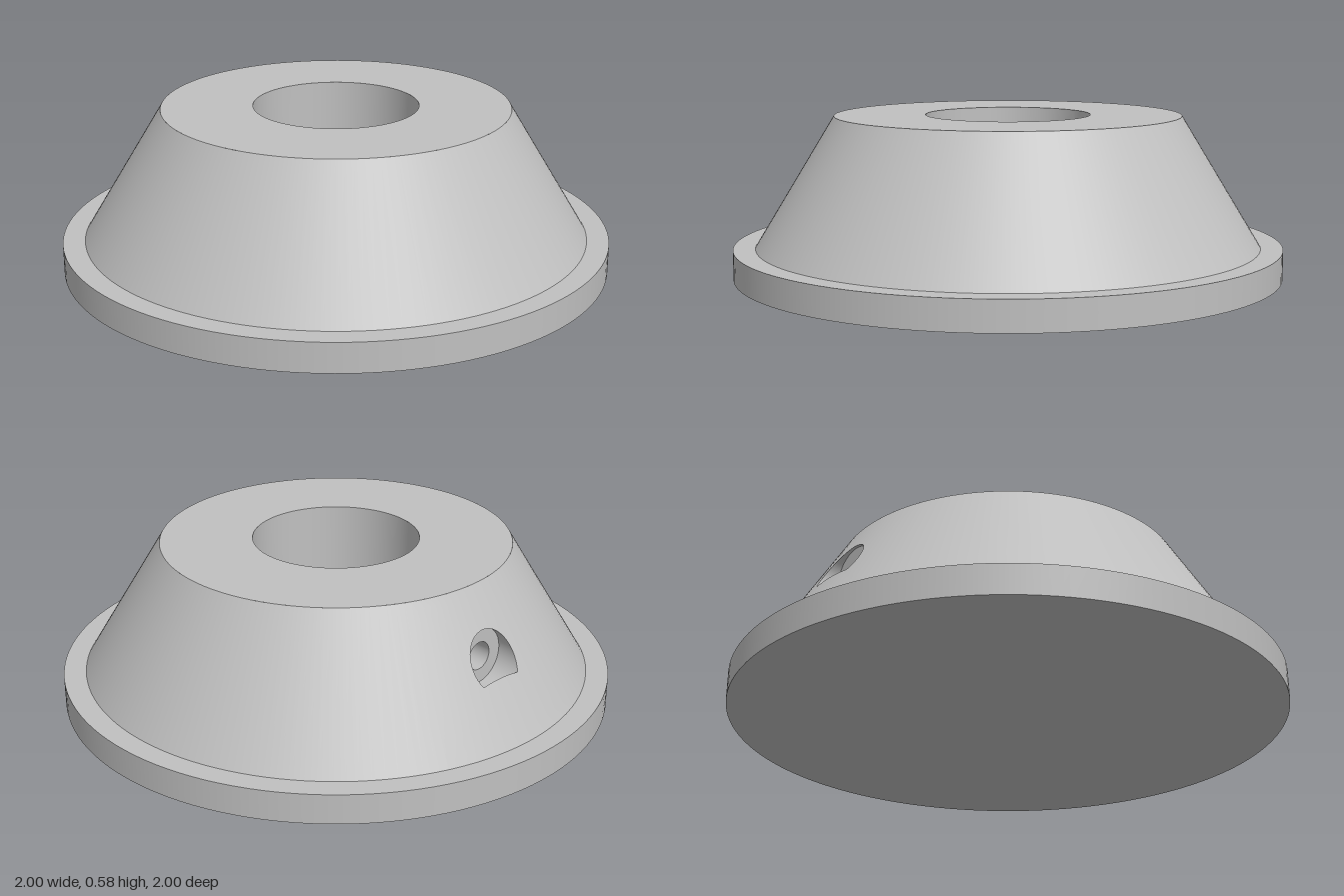
import * as THREE from 'three';

const FLANGE = 0.107, TOP = 0.58, R_LOW = 0.92, R_HIGH = 0.632, BORE = 0.3;
const HOLE_Y = 0.35, HEAD_R = 0.1, SCREW_R = 0.05, HEAD_OUT = -0.8, HEAD_IN = -0.7;
const SEG = 64, SPAN = 0.35;

// Joins closed rings of points into one smooth surface
function loft(rings) {
  const pos = [], index = [], n = rings[0].length;
  rings.forEach((ring) => ring.forEach((p) => pos.push(...p)));
  for (let r = 0; r < rings.length - 1; r++) {
    for (let i = 0; i < n; i++) {
      const a = r * n + i, b = r * n + ((i + 1) % n);
      index.push(a, b, a + n, b, b + n, a + n);
    }
  }
  const g = new THREE.BufferGeometry();
  g.setAttribute('position', new THREE.Float32BufferAttribute(pos, 3));
  g.setIndex(index);
  g.computeVertexNormals();
  return g;
}

const ring = (fn) => Array.from({ length: SEG }, (_, i) => {
  const t = (i / SEG) * Math.PI * 2;
  return fn(Math.sin(t), Math.cos(t));
});

export function createModel() {
  const group = new THREE.Group();
  const grey = new THREE.MeshStandardMaterial({ color: 0xc0c0c0, side: THREE.DoubleSide });
  grey.name = 'grey';
  const add = (name, geometry) => {
    const m = new THREE.Mesh(geometry, grey);
    m.name = name;
    group.add(m);
    return m;
  };

  const height = TOP - FLANGE, slope = (R_LOW - R_HIGH) / height;
  const coneR = (y) => R_LOW - (y - FLANGE) * slope;
  const boreR = () => BORE;
  const wallX = (radius, y, z) => -Math.sqrt(radius(y) ** 2 - z * z);

  // A round wall whose -x sector is replaced by a patch around an opening
  function piercedWall(name, radius, opening) {
    const main = new THREE.CylinderGeometry(radius(TOP), radius(FLANGE), height, 120, 1, true,
      Math.PI * 1.5 + SPAN, Math.PI * 2 - SPAN * 2);
    main.translate(0, (TOP + FLANGE) / 2, 0);
    add(name, main);
    const border = ring((s, c) => {
      const m = Math.max(Math.abs(s), Math.abs(c));
      return [SPAN * s / m, (TOP + FLANGE) / 2 + height / 2 * c / m];
    });
    const rings = [];
    for (let k = 0; k <= 6; k++) {
      rings.push(opening.map(([x, y, z], i) => {
        const a = THREE.MathUtils.lerp(Math.atan2(z, -x), border[i][0], k / 6);
        const h = THREE.MathUtils.lerp(y, border[i][1], k / 6);
        return [-radius(h) * Math.cos(a), h, radius(h) * Math.sin(a)];
      }));
    }
    add(name + 'Patch', loft(rings));
  }

  // Flange; its top face is also the floor of the bore
  add('flange', new THREE.CylinderGeometry(1, 1, FLANGE, 128)).position.y = FLANGE / 2;

  // Tapered body with the screw head pocket, cut only inward of HEAD_OUT
  const lipY = (z) => FLANGE + (R_LOW - Math.hypot(HEAD_OUT, z)) / slope;
  const pocketMouth = ring((s, c) => {
    const z = HEAD_R * s, y = Math.max(HOLE_Y + HEAD_R * c, lipY(z));
    return [wallX(coneR, y, z), y, z];
  });
  piercedWall('taperedBody', coneR, pocketMouth);

  // Flat top around the bore
  const topFace = new THREE.RingGeometry(BORE, R_HIGH, 120);
  topFace.rotateX(-Math.PI / 2);
  add('topFace', topFace).position.y = TOP;

  // Pocket: lip, round wall and flat seat
  const pocketStart = ring((s, c) => {
    const y = HOLE_Y + HEAD_R * c, z = HEAD_R * s;
    return [Math.max(wallX(coneR, y, z), HEAD_OUT), y, z];
  });
  const circle = (r) => ring((s, c) => [HEAD_IN, HOLE_Y + r * c, r * s]);
  add('pocketLip', loft([pocketMouth, pocketStart]));
  add('pocketWall', loft([pocketStart, circle(HEAD_R)]));
  add('pocketSeat', loft([circle(HEAD_R), circle(SCREW_R)]));

  // Screw hole running from the seat into the bore
  const boreMouth = ring((s, c) => {
    const y = HOLE_Y + SCREW_R * c, z = SCREW_R * s;
    return [wallX(boreR, y, z), y, z];
  });
  add('screwHole', loft([circle(SCREW_R), boreMouth]));
  piercedWall('boreWall', boreR, boreMouth);

  return group;
}
